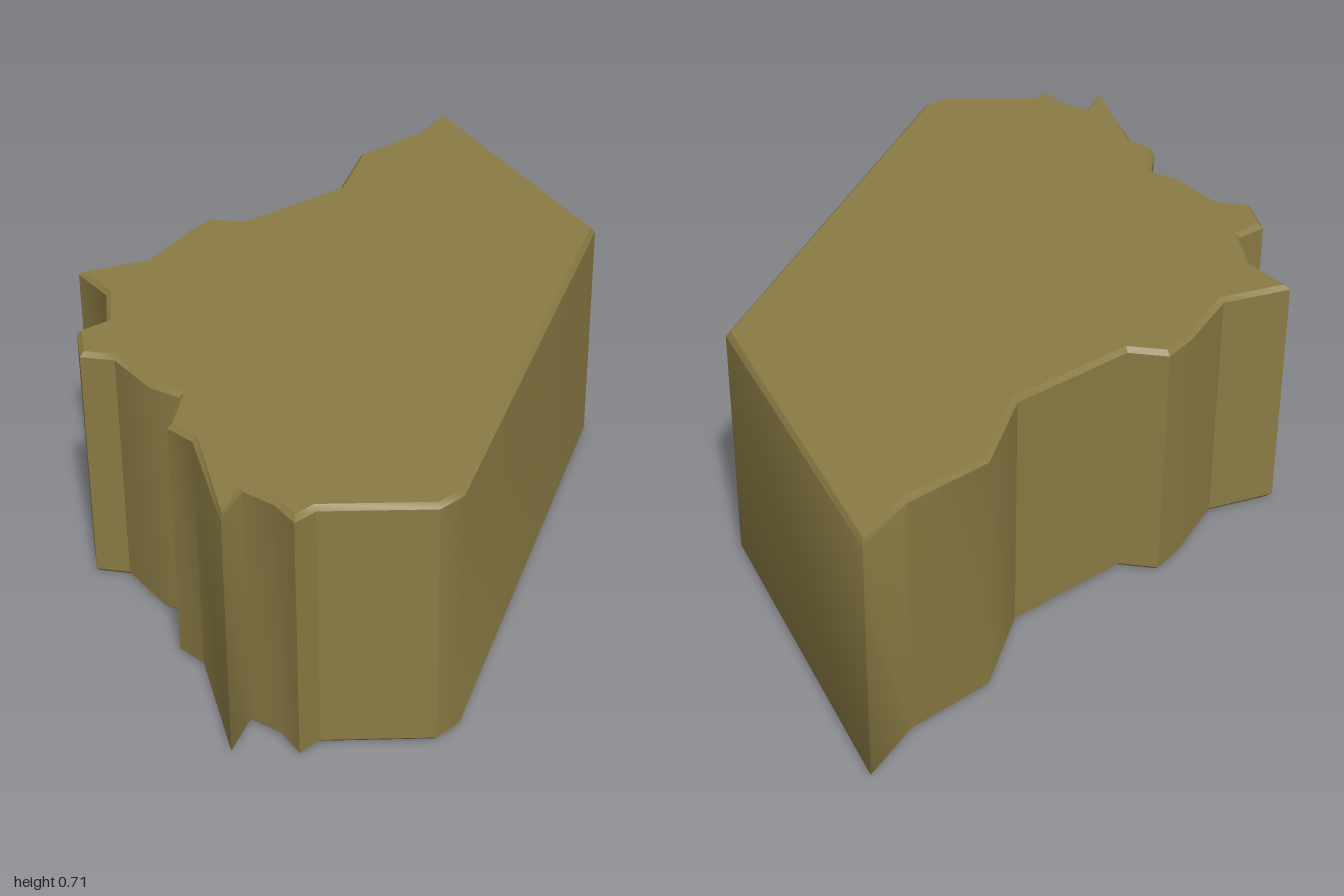
import * as THREE from 'three';
import { toCreasedNormals } from 'three/addons/utils/BufferGeometryUtils.js';

const HEIGHT = 0.71;
const BEVEL = 0.013;

// Plan outline as [x, z], starting at the back left tip
const OUTLINE = [
  [0.975, -1.0], [0.8, -0.91], [0.545, -0.875], [0.335, -0.69], [-0.045, -0.648],
  [-0.125, -0.725], [-0.225, -0.69], [-0.425, -0.582], [-0.627, -0.625], [-0.627, -0.46],
  [-0.71, -0.31], [-0.807, -0.3], [-0.865, -0.175], [-0.797, -0.105], [-0.797, 0.085],
  [-0.76, 0.17], [-0.865, 0.29], [-0.848, 0.385], [-0.98, 0.735], [-0.87, 0.655],
  [-0.84, 0.75], [-0.845, 0.842], [-0.775, 0.83], [-0.53, 0.992], [-0.447, 0.978],
  [0.79, 0.015],
];

export function createModel() {
  const group = new THREE.Group();
  group.name = 'outlineSlab';

  const olive = new THREE.MeshStandardMaterial({ color: 0x8a7b44 });
  olive.name = 'olive';

  // Thick slab with a fine chamfer kept inside the outline
  const shape = new THREE.Shape(OUTLINE.map(([x, z]) => new THREE.Vector2(x, -z)));
  const geometry = new THREE.ExtrudeGeometry(shape, {
    depth: HEIGHT - 2 * BEVEL,
    bevelEnabled: true,
    bevelThickness: BEVEL,
    bevelSize: BEVEL,
    bevelOffset: -BEVEL,
    bevelSegments: 1,
  });
  geometry.rotateX(-Math.PI / 2);
  geometry.translate(0, BEVEL, 0);

  // Gentle wall bends stay smooth, corners and chamfers stay sharp
  const slab = new THREE.Mesh(toCreasedNormals(geometry, 0.6), olive);
  slab.name = 'slab';
  group.add(slab);
  return group;
}
